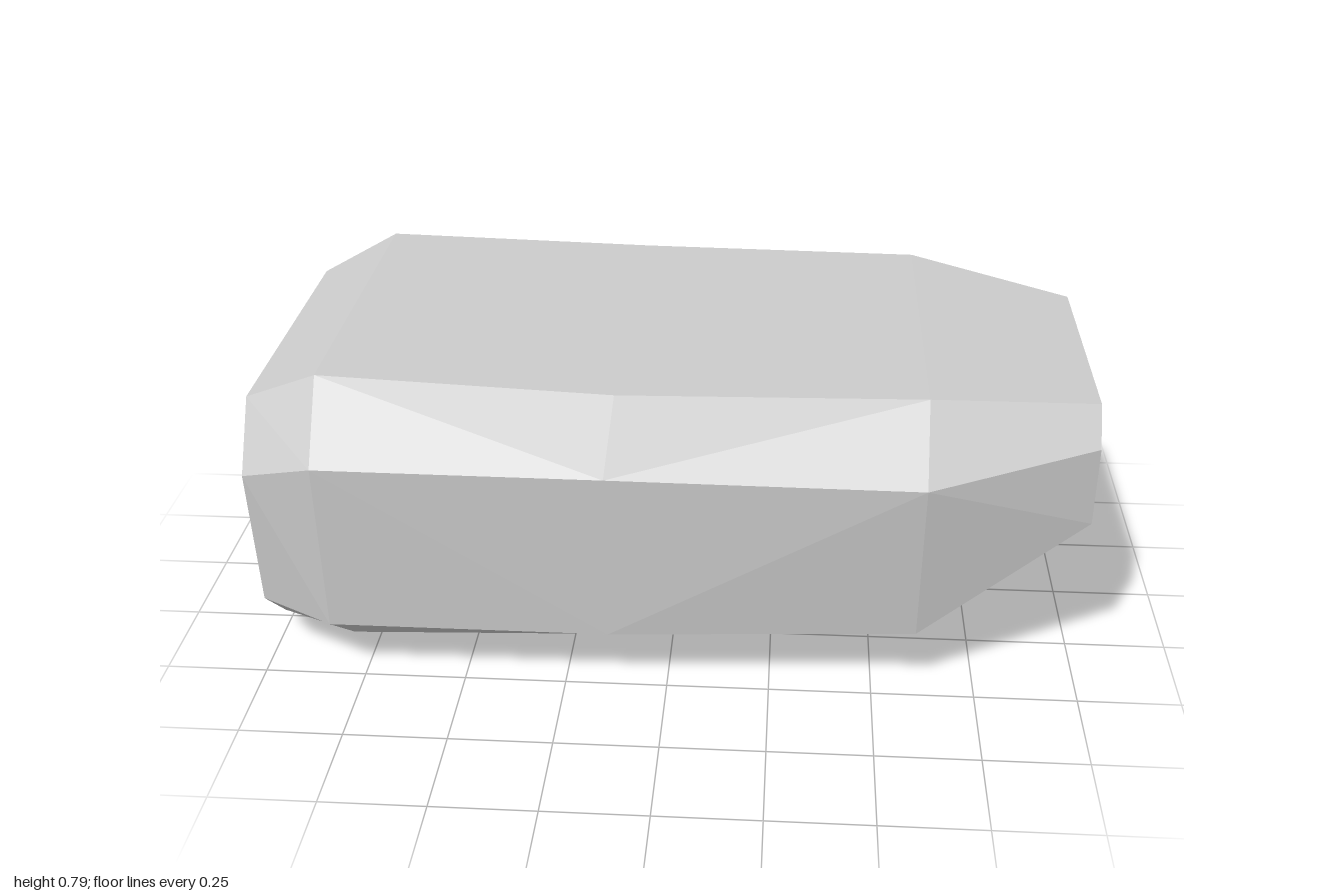
import * as THREE from 'three';

// Lofted faceted boulder: eight-sided sections along x, with a step cut underneath.
export function createModel() {
  const group = new THREE.Group();
  group.name = 'boulder';
  const stone = new THREE.MeshStandardMaterial({ color: 0xcccccc, flatShading: true });
  stone.name = 'stone grey';

  // Each level is [x, y, front z, back z], ordered top, shoulder, flank, underside
  const sections = [
    [[-1, 0.71, 0.4, -0.39], [-1, 0.55, 0.5, -0.47], [-1, 0.18, 0.45, -0.46], [-1, 0.05, 0.3, -0.29]],
    [[-0.82, 0.79, 0.44, -0.48], [-0.82, 0.605, 0.562, -0.565], [-0.82, 0.16, 0.525, -0.515], [-0.82, 0, 0.315, -0.35]],
    [[-0.12, 0.775, 0.47, -0.475], [-0.14, 0.6, 0.557, -0.553], [-0.14, 0.16, 0.525, -0.515], [-0.165, 0.045, 0.35, -0.3]],
    [[-0.12, 0.775, 0.47, -0.475], [-0.14, 0.6, 0.557, -0.553], [-0.14, 0.16, 0.525, -0.515], [-0.145, 0.108, 0.33, -0.32]],
    [[0.6, 0.77, 0.435, -0.465], [0.6, 0.592, 0.55, -0.543], [0.6, 0.172, 0.492, -0.508], [0.6, 0.115, 0.33, -0.32]],
    [[1, 0.735, 0.36, -0.28], [1, 0.647, 0.42, -0.365], [1, 0.445, 0.41, -0.33], [1, 0.415, 0.27, -0.2]],
  ];
  const rings = sections.map((levels) => [
    ...levels.map(([x, y, front]) => new THREE.Vector3(x, y, front)),
    ...levels.map(([x, y, , back]) => new THREE.Vector3(x, y, back)).reverse(),
  ]);

  const points = [];
  const addTriangle = (a, b, c) => {
    const tri = new THREE.Triangle(a, b, c);
    if (tri.getArea() > 1e-6) points.push(a, b, c);
  };

  // Facets between neighbouring sections
  for (let i = 0; i < rings.length - 1; i++) {
    for (let j = 0; j < 8; j++) {
      const k = (j + 1) % 8;
      const a = rings[i][j], b = rings[i][k], c = rings[i + 1][k], d = rings[i + 1][j];
      if (i === 3) {
        addTriangle(a, b, d);
        addTriangle(b, c, d);
      } else {
        addTriangle(a, b, c);
        addTriangle(a, c, d);
      }
    }
  }

  // Flat ends
  const first = rings[0], last = rings[rings.length - 1];
  for (let j = 1; j < 7; j++) {
    addTriangle(first[0], first[j + 1], first[j]);
    addTriangle(last[0], last[j], last[j + 1]);
  }

  const geometry = new THREE.BufferGeometry().setFromPoints(points);
  geometry.computeVertexNormals();
  const body = new THREE.Mesh(geometry, stone);
  body.name = 'facetedStone';
  group.add(body);
  return group;
}
